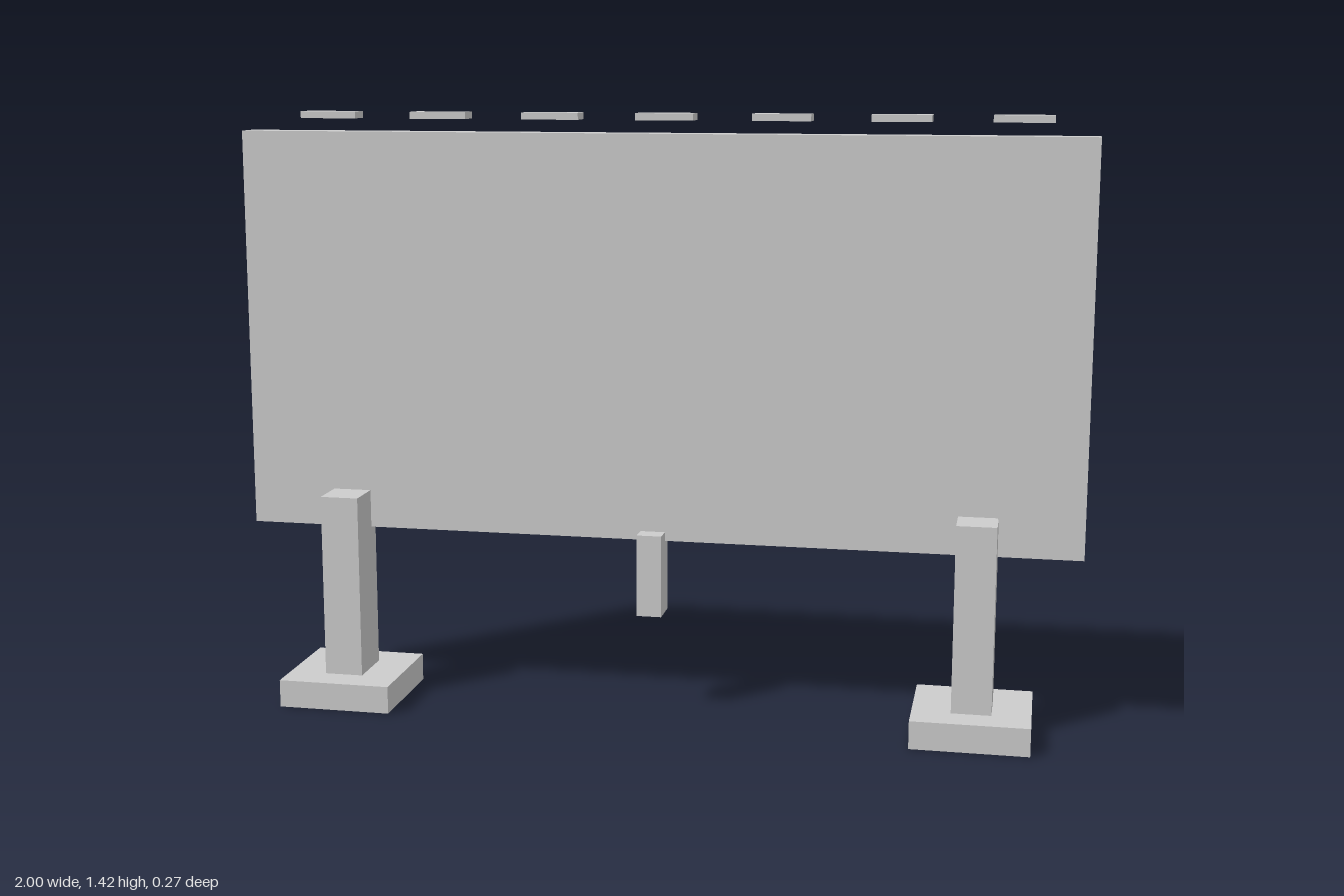
import * as THREE from 'three';

export function createModel() {
  const group = new THREE.Group();
  const grey = new THREE.MeshStandardMaterial({ color: 0xcccccc });
  grey.name = 'light grey';

  // Box given by its lower and upper limits on each axis
  function box(name, x0, x1, y0, y1, z0, z1) {
    const mesh = new THREE.Mesh(new THREE.BoxGeometry(x1 - x0, y1 - y0, z1 - z0), grey);
    mesh.position.set((x0 + x1) / 2, (y0 + y1) / 2, (z0 + z1) / 2);
    mesh.name = name;
    group.add(mesh);
  }

  // Footings and posts
  for (const [side, x] of [['right', -0.748], ['left', 0.759]]) {
    box(side + 'Footing', x - 0.136, x + 0.136, 0, 0.066, -0.136, 0.136);
    box(side + 'Post', x - 0.046, x + 0.046, 0.066, 0.506, -0.063, 0.062);
  }
  box('centreBracket', -0.031, 0.028, 0.24, 0.436, -0.065, 0.012);

  // Main board
  box('board', -1, 1, 0.415, 1.37, -0.102, -0.033);

  // Row of lamps above the board
  for (let i = 0; i < 7; i++) {
    const x = -0.775 + 0.268 * i;
    box('lamp' + (i + 1), x - 0.067, x + 0.067, 1.401, 1.417, -0.067, -0.011);
  }

  // Back sheet with two raised plates
  box('backSheet', -0.962, 0.962, 0.46, 1.32, -0.107, -0.102);
  box('largePlate', 0.172, 0.92, 0.72, 1.228, -0.111, -0.107);
  box('smallPlate', -0.78, -0.092, 0.78, 1.2, -0.111, -0.107);

  // Thin rails along the sides and bottom of the back
  box('leftRail', 0.914, 0.926, 0.465, 1.312, -0.122, -0.112);
  box('rightRail', -0.924, -0.912, 0.465, 1.312, -0.122, -0.112);
  box('bottomRail', -0.87, 0.896, 0.467, 0.475, -0.122, -0.112);

  // Grid of small pegs
  for (const y of [0.79, 0.735, 0.68, 0.623]) {
    for (let i = 0; i < 12; i++) {
      const x = -0.863 + 0.158 * i;
      box('peg', x - 0.01, x + 0.01, y - 0.004, y + 0.004, -0.123, -0.113);
    }
  }

  return group;
}
